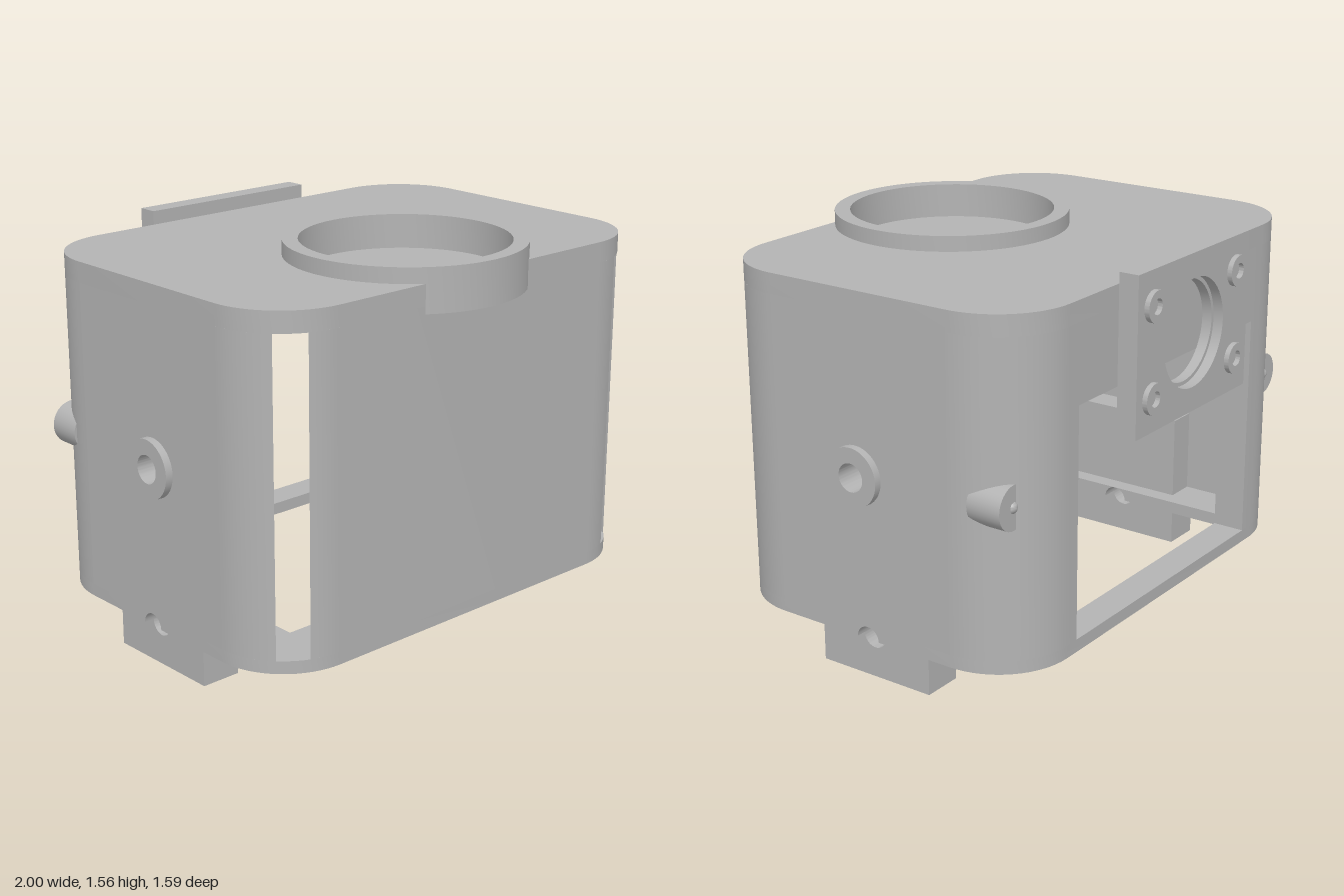
import * as THREE from 'three';
import { toCreasedNormals } from 'three/addons/utils/BufferGeometryUtils.js';

const W = 0.97, FRONT = 0.71, BACK = -0.68, R = 0.3;      // outer shell
const CX = W - R, CF = FRONT - R, CB = BACK + R;          // corner centres
const IN_X = 0.89, IN_F = 0.685, IN_B = -0.55;            // cavity limits
const Y0 = 0.17, Y1 = 0.22, Y2 = 1.42, Y3 = 1.5;          // floor, walls, roof
const WIN_X = 0.61, WIN_TOP = 1.12;                       // rear window
const PORT_Y = 0.81, PORT_Z = 0.035;

const arc = (cx, cy, r, a, b, n = 16) => Array.from({ length: n + 1 }, (_, i) => {
  const t = a + (b - a) * i / n;
  return [cx + r * Math.cos(t), cy + r * Math.sin(t)];
});
const flip = pts => pts.map(([x, z]) => [-x, z]).reverse();
const shapeOf = (pts, ...holes) => {
  const s = new THREE.Shape(pts.map(p => new THREE.Vector2(...p)));
  for (const [x, y, r] of holes) s.holes.push(new THREE.Path().absarc(x, y, r, 0, Math.PI * 2, true));
  return s;
};
const rect = (a, b, c, d) => [[a, c], [b, c], [b, d], [a, d]];
const extrude = (shape, depth) => new THREE.ExtrudeGeometry(shape, { depth, bevelEnabled: false, curveSegments: 32 });
// shape given in (x, z), running from height a to b
const alongY = (shape, a, b) => extrude(shape, b - a).rotateX(Math.PI / 2).translate(0, b, 0);
// shape given in (z, y), running from x = a to b
const alongX = (shape, a, b) => extrude(shape, b - a).rotateY(-Math.PI / 2).translate(b, 0, 0);
const sideX = (shape, s, a, b) => (s > 0 ? alongX(shape, a, b) : alongX(shape, -b, -a));

export function createModel() {
  const model = new THREE.Group();
  model.name = 'housing';
  const grey = new THREE.MeshStandardMaterial({ color: 0xb3b3b3 });
  grey.name = 'grey plastic';
  const add = (name, geo) => {
    const mesh = new THREE.Mesh(toCreasedNormals(geo, 0.6), grey);
    mesh.name = name;
    model.add(mesh);
    return mesh;
  };
  const q = Math.PI / 2;
  const frontCorner = arc(CX, CF, R, 0, q);
  const backCorner = arc(CX, CB, R, -q, 0);

  // Floor frame in two halves, leaving room for the cross bore
  const OX = 0.7, B = 0.05;
  add('floorFront', alongY(shapeOf([[W, B], ...frontCorner, ...flip(frontCorner), [-W, B],
    [-OX, B], [-OX, 0.47], [OX, 0.47], [OX, B]]), Y0, Y1));
  add('floorBack', alongY(shapeOf([[-W, -B], ...flip(backCorner), ...backCorner, [W, -B],
    [OX, -B], [OX, IN_B], [-OX, IN_B], [-OX, -B]]), Y0, Y1));

  // Roof with a round cut-out that breaks the front edge
  const cutZ = 0.335, cutR = 0.43, a = Math.asin((FRONT - cutZ) / cutR);
  add('roof', alongY(shapeOf([...frontCorner, ...arc(0, cutZ, cutR, a, -Math.PI - a, 56),
    ...flip(frontCorner), ...flip(backCorner), ...backCorner]), Y2, Y3));

  // Shallow cup set into the roof
  const cup = [[0, 1.39], [0.46, 1.39], [0.46, 1.56], [0.4, 1.56], [0.4, 1.425], [0, 1.425]];
  add('roofCup', new THREE.LatheGeometry(cup.map(p => new THREE.Vector2(...p)), 64).translate(0, 0, cutZ));

  // Thin front panel between the two corner slots
  const panelEnd = arc(CX, CF, R, Math.asin((IN_F - CF) / R), q, 6);
  add('frontPanel', alongY(shapeOf([...panelEnd, ...flip(panelEnd)]), Y1, Y2));

  // Lintel over the rear window
  add('rearLintel', alongY(shapeOf(rect(-WIN_X, WIN_X, BACK, IN_B)), WIN_TOP, Y2));

  for (const s of [1, -1]) {
    const side = s > 0 ? 'left' : 'right';
    const mir = pts => (s > 0 ? pts : flip(pts));

    // Corners and side wall with a port hole
    add(side + 'RearCorner', alongY(shapeOf(mir([[WIN_X, BACK], ...backCorner,
      [IN_X, CB], [IN_X, IN_B], [WIN_X, IN_B]])), Y1, Y2));
    add(side + 'FrontCorner', alongY(shapeOf(mir([[IN_X, CF],
      ...arc(CX, CF, R, 0, Math.acos((IN_X - CX) / R), 10)])), Y1, Y2));
    add(side + 'SideWall', sideX(shapeOf(rect(CB, CF, Y1, Y2), [PORT_Z, PORT_Y, 0.09]), s, IN_X, W));

    // Port bushing
    const bush = new THREE.Shape().absarc(PORT_Z, PORT_Y, 0.115, 0, Math.PI * 2);
    bush.holes.push(new THREE.Path().absarc(PORT_Z, PORT_Y, 0.055, 0, Math.PI * 2, true));
    add(side + 'Bushing', sideX(bush, s, 0.835, 1.0));

    // Foot bracket reaching up inside the wall, bored across
    add(side + 'Foot', sideX(shapeOf(rect(-0.25, 0.25, 0, 0.56), [0, Y0, B]), s, 0.77, 0.93));
    add(side + 'FloorNotch', sideX(shapeOf([[B, Y1], [-B, Y1],
      ...arc(0, Y0, B, Math.PI, 0, 16)]), s, OX, W));

    // Peg and small pin at the rear corner
    add(side + 'Peg', new THREE.CylinderGeometry(0.085, 0.085, 0.14, 32)
      .rotateX(q).translate(s * 0.885, PORT_Y, -0.53));
    add(side + 'PegPin', new THREE.SphereGeometry(0.025, 16, 12).translate(s * 0.885, PORT_Y, -0.587));

    // Round pad on the inner rear wall
    add(side + 'InnerPad', new THREE.CylinderGeometry(0.065, 0.065, 0.02, 32)
      .rotateX(q).translate(s * 0.77, 1.09, IN_B));
  }

  // Rear mounting plate with a stepped round opening
  const PY = 1.245, outline = rect(-0.39, 0.39, 0.94, 1.55);
  add('rearPlateOuter', extrude(shapeOf(outline, [0, PY, 0.21]), 0.04).translate(0, 0, -0.775));
  add('rearPlateInner', extrude(shapeOf(outline, [0, PY, 0.195]), 0.04).translate(0, 0, -0.735));

  // Screw collars on the plate
  for (const x of [-0.29, 0.29]) for (const y of [PY - 0.172, PY + 0.172]) {
    const collar = new THREE.Shape().absarc(x, y, 0.06, 0, Math.PI * 2);
    collar.holes.push(new THREE.Path().absarc(x, y, 0.03, 0, Math.PI * 2, true));
    add('screwCollar', extrude(collar, 0.02).translate(0, 0, -0.795));
  }
  return model;
}
